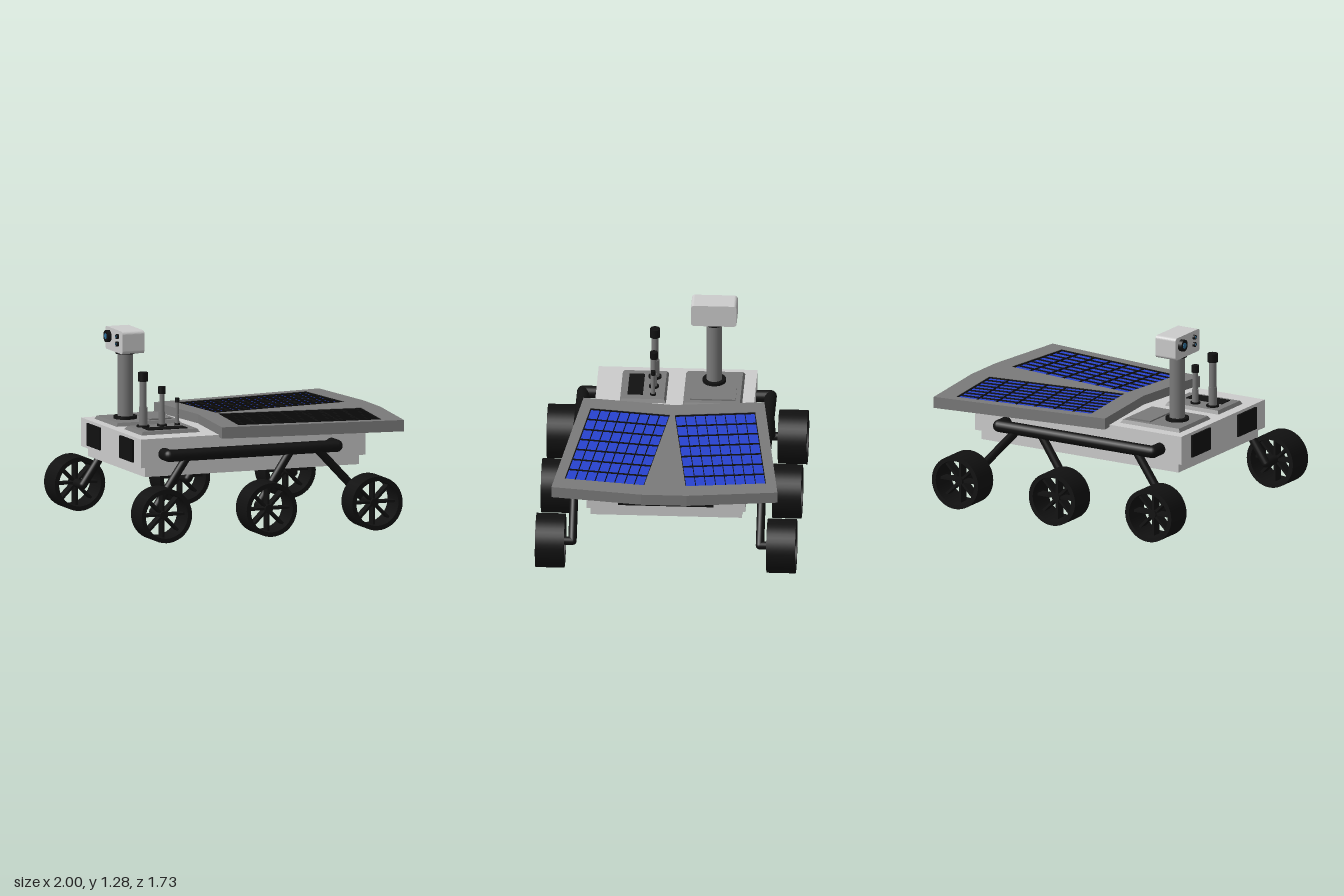
import * as THREE from 'three';

const mat = (color) => new THREE.MeshStandardMaterial({ color });
const GREY = mat(0xcccccc), DARK = mat(0x7a7a7a), BLACK = mat(0x111111), BLUE = mat(0x2742cf), GLASS = mat(0x2a6f9a);

function add(parent, name, geometry, material, x = 0, y = 0, z = 0) {
  const mesh = new THREE.Mesh(geometry, material);
  mesh.name = name;
  mesh.position.set(x, y, z);
  parent.add(mesh);
  return mesh;
}

// Box given by its extents along each axis
function block(parent, name, material, [x0, x1], [y0, y1], [z0, z1]) {
  return add(parent, name, new THREE.BoxGeometry(x1 - x0, y1 - y0, z1 - z0), material,
    (x0 + x1) / 2, (y0 + y1) / 2, (z0 + z1) / 2);
}

// Upright cylinder from y0 to y1
function post(parent, name, material, r, x, z, y0, y1) {
  return add(parent, name, new THREE.CylinderGeometry(r, r, y1 - y0, 24), material, x, (y0 + y1) / 2, z);
}

// Round bar through a list of points, with ball joints at the points
function pipe(parent, name, r, points) {
  const group = new THREE.Group();
  group.name = name;
  const pts = points.map((p) => new THREE.Vector3(...p));
  pts.forEach((p, i) => {
    add(group, 'joint', new THREE.SphereGeometry(r, 20, 14), BLACK, p.x, p.y, p.z);
    if (!i) return;
    const dir = p.clone().sub(pts[i - 1]);
    const mid = p.clone().add(pts[i - 1]).multiplyScalar(0.5);
    const bar = add(group, 'bar', new THREE.CylinderGeometry(r, r, dir.length(), 20), BLACK, mid.x, mid.y, mid.z);
    bar.quaternion.setFromUnitVectors(new THREE.Vector3(0, 1, 0), dir.normalize());
  });
  parent.add(group);
}

// Flat outline in x/z, raised from y0 to y1
function slab(parent, name, material, shape, y0, y1) {
  const geo = new THREE.ExtrudeGeometry(shape, { depth: y1 - y0, bevelEnabled: false });
  geo.rotateX(-Math.PI / 2); // shape y becomes -z
  return add(parent, name, geo, material, 0, y0, 0);
}

// Deck plate with sloping edges
function deckPlate(parent, name, [x0, x1], [z0, z1]) {
  const w = x1 - x0, d = z1 - z0;
  const geo = new THREE.BoxGeometry(w, 0.025, d).toNonIndexed();
  const p = geo.attributes.position;
  for (let i = 0; i < p.count; i++) {
    if (p.getY(i) > 0) p.setXYZ(i, p.getX(i) * (1 - 0.03 / w), p.getY(i), p.getZ(i) * (1 - 0.03 / d));
  }
  geo.computeVertexNormals();
  add(parent, name, geo, DARK, (x0 + x1) / 2, 0.66, (z0 + z1) / 2);
}

function wheel(x, z) {
  const group = new THREE.Group();
  group.name = 'wheel';
  group.position.set(x, 0.18, z);
  const h = 0.096;
  const rim = new THREE.LatheGeometry(
    [[0.15, -h], [0.18, -h], [0.18, -h], [0.18, h], [0.18, h], [0.15, h], [0.15, h], [0.15, -h]]
      .map(([r, y]) => new THREE.Vector2(r, y)), 40);
  rim.rotateX(Math.PI / 2);
  add(group, 'tyre', rim, new THREE.MeshStandardMaterial({ color: 0x111111, side: THREE.DoubleSide }));
  add(group, 'hub', new THREE.CylinderGeometry(0.028, 0.028, 0.1, 20).rotateX(Math.PI / 2), BLACK);
  for (let i = 0; i < 4; i++) {
    add(group, 'spoke', new THREE.BoxGeometry(0.31, 0.016, 0.07), BLACK).rotation.z = i * Math.PI / 4;
  }
  return group;
}

// Beam, legs and wheels of one side (s = +1 or -1 along z)
function suspension(s) {
  const group = new THREE.Group();
  group.name = s > 0 ? 'frontSuspension' : 'backSuspension';
  const z = 0.622 * s, y = 0.545;
  pipe(group, 'beam', 0.041, [[-0.705, y, 0.5 * s], [-0.705, y, z], [0.49, y, z], [0.49, y, 0.5 * s]]);
  for (const [top, x] of [[-0.57, -0.82], [0.17, -0.07], [0.34, 0.685]]) {
    pipe(group, 'leg', 0.028, [[top, y, z], [x, 0.18, z], [x, 0.18, 0.73 * s]]);
    group.add(wheel(x, 0.767 * s));
  }
  return group;
}

// Solar wing with two recessed, tilted cell fields
function solarPanel() {
  const group = new THREE.Group();
  group.name = 'solarPanel';
  const outline = () => new THREE.Shape([[-0.25, 0], [-0.32, -0.6], [0.92, -0.75], [0.995, -0.15],
    [0.995, 0.15], [0.92, 0.75], [-0.32, 0.6]].map(([x, y]) => new THREE.Vector2(x, y)));
  const W = 0.985, D = 0.535, cx = 0.341, cz = 0.342, tilt = 0.124;
  const frame = outline();
  for (const s of [1, -1]) {
    const corners = [[-1, -1], [-1, 1], [1, 1], [1, -1]].map(([u, v]) =>
      new THREE.Vector2(u * W / 2, v * D / 2).rotateAround(new THREE.Vector2(), s * tilt).add(new THREE.Vector2(cx, s * cz)));
    frame.holes.push(new THREE.Path(corners));

    const field = new THREE.Group();
    field.name = 'cellField';
    field.position.set(cx, 0, -s * cz);
    field.rotation.y = s * tilt;
    add(field, 'cells', new THREE.BoxGeometry(W, 0.01, D), BLUE, 0, 0.693, 0);
    for (let i = 0; i <= 7; i++) {
      add(field, 'divider', new THREE.BoxGeometry(0.004, 0.012, D), BLACK, (i / 7 - 0.5) * W * 0.995, 0.702, 0);
    }
    for (let i = 0; i <= 8; i++) {
      add(field, 'divider', new THREE.BoxGeometry(W, 0.012, 0.004), BLACK, 0, 0.702, (i / 8 - 0.5) * D * 0.99);
    }
    group.add(field);
  }
  slab(group, 'panelBase', DARK, outline(), 0.635, 0.69);
  slab(group, 'panelFrame', DARK, frame, 0.69, 0.711);
  return group;
}

// Mast with camera head looking along -x
function cameraMast() {
  const group = new THREE.Group();
  group.name = 'cameraMast';
  const x = -0.667, z = -0.25;
  post(group, 'mastFoot', BLACK, 0.078, x, z, 0.67, 0.692);
  post(group, 'mast', DARK, 0.052, x, z, 0.68, 1.12);
  post(group, 'mastCollar', BLACK, 0.066, x, z, 1.108, 1.126);

  const w = 0.152, h = 0.076, r = 0.022, shape = new THREE.Shape();
  shape.absarc(w - r, h - r, r, 0, Math.PI / 2);
  shape.absarc(-w + r, h - r, r, Math.PI / 2, Math.PI);
  shape.absarc(-w + r, -h + r, r, Math.PI, Math.PI * 1.5);
  shape.absarc(w - r, -h + r, r, Math.PI * 1.5, Math.PI * 2);
  const head = new THREE.ExtrudeGeometry(shape, { depth: 0.156, bevelEnabled: false, curveSegments: 6 });
  head.rotateY(Math.PI / 2);
  add(group, 'cameraHead', head, GREY, -0.748, 1.2, z);

  for (const [r2, ly, lz, out] of [[0.04, 1.217, -0.332, 0.775], [0.016, 1.235, -0.175, 0.764], [0.016, 1.185, -0.175, 0.764]]) {
    const lens = (name, m, rad, x0) => add(group, name,
      new THREE.CylinderGeometry(rad, rad, 0.05, 24).rotateZ(Math.PI / 2), m, -x0 + 0.025, ly, lz);
    lens('lensBarrel', BLACK, r2, out);
    lens('lensGlass', GLASS, r2 * 0.5, out + 0.002);
  }
  return group;
}

// Row of three antennas on their plate
function antennas() {
  const group = new THREE.Group();
  group.name = 'antennas';
  const z = 0.145;
  for (const [x, r, top, cap] of [[-0.7, 0.024, 1.038, 0.06], [-0.565, 0.018, 0.935, 0.048], [-0.456, 0.011, 0.852, 0.03]]) {
    post(group, 'antennaFoot', BLACK, r * 1.8, x, z, 0.67, 0.684);
    post(group, 'antennaSleeve', DARK, r * 1.2, x, z, 0.68, 0.68 + (top - 0.68) * 0.35);
    post(group, 'antennaRod', DARK, r, x, z, 0.68, top - 0.01);
    post(group, 'antennaCap', BLACK, r * 1.4, x, z, top - cap, top);
  }
  return group;
}

export function createModel() {
  const model = new THREE.Group();
  model.name = 'rover';

  // Hull and vents
  block(model, 'upperHull', GREY, [-0.87, 0.737], [0.458, 0.65], [-0.527, 0.527]);
  block(model, 'lowerHull', GREY, [-0.833, 0.7], [0.393, 0.459], [-0.503, 0.503]);
  block(model, 'rearVent', BLACK, [0.73, 0.752], [0.495, 0.61], [-0.317, 0.317]);
  for (const s of [1, -1]) {
    block(model, 'noseVent', BLACK, [-0.883, -0.86], [0.48, 0.63], [s * 0.29 - 0.115, s * 0.29 + 0.115]);
  }

  // Deck fittings
  deckPlate(model, 'mastPlate', [-0.81, -0.345], [-0.45, -0.055]);
  block(model, 'hatch', DARK, [-0.552, -0.395], [0.665, 0.682], [-0.405, -0.103]);
  deckPlate(model, 'antennaPlate', [-0.8, -0.38], [0.055, 0.365]);
  block(model, 'instrumentSlot', BLACK, [-0.73, -0.45], [0.665, 0.678], [0.213, 0.315]);

  model.add(cameraMast(), antennas(), solarPanel(), suspension(1), suspension(-1));
  return model;
}
